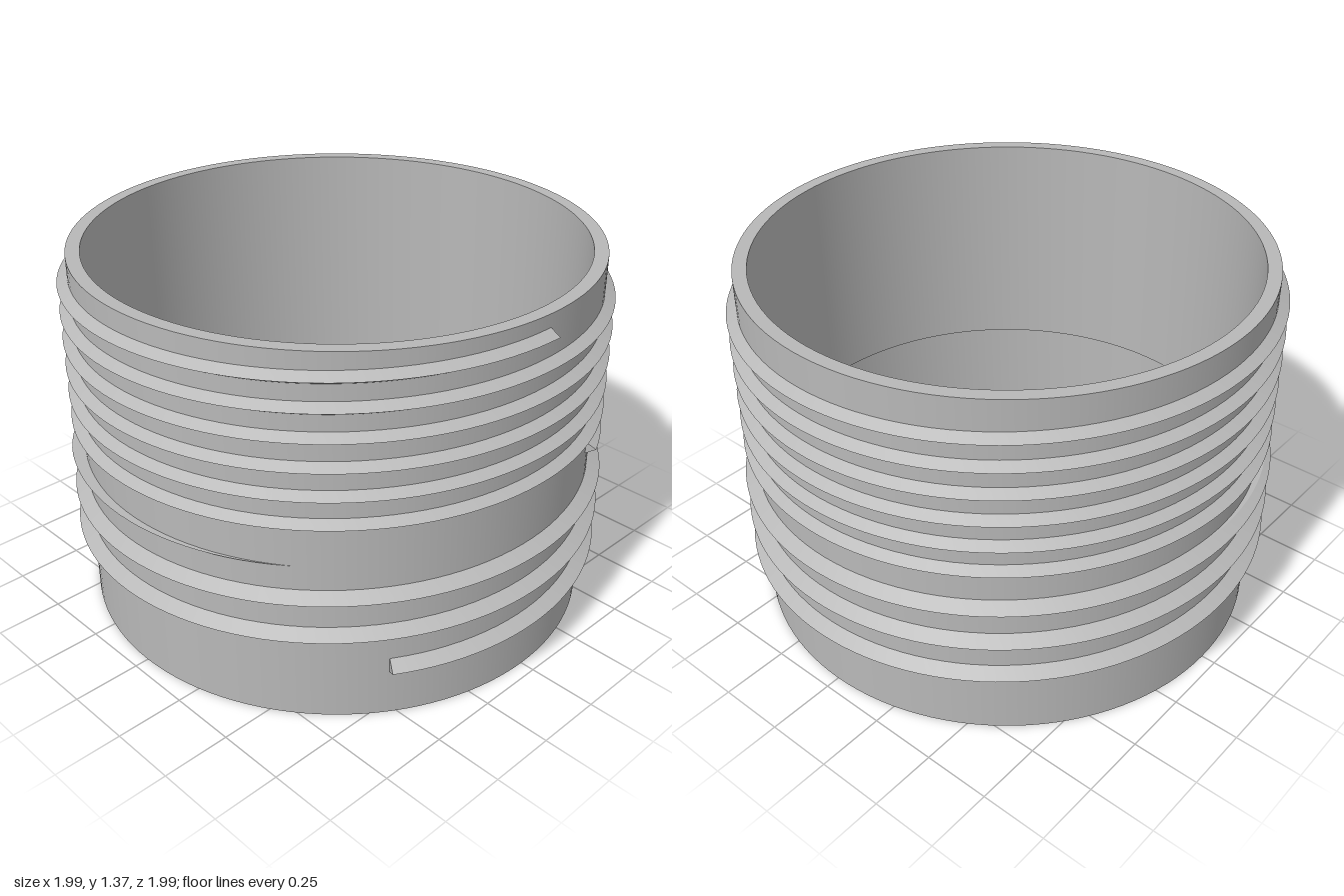
import * as THREE from 'three';
import { toCreasedNormals } from 'three/addons/utils/BufferGeometryUtils.js';

const WALL = 0.947;      // outer radius of the sleeve
const ROOT = 0.943;      // thread roots sit slightly inside the wall
const FLANK = Math.tan(Math.PI / 6); // 60 degree thread form
const DEG = Math.PI / 180;

// V-shaped helical ridge from angle t0 to t1 (degrees, 0 = +z, 90 = +x),
// starting at height y0, cut flat where it reaches the height limit.
function helicalThread({ t0, t1, y0, pitch, crest, limit }) {
  const h = (crest - ROOT) * FLANK;
  const steps = Math.ceil((t1 - t0) / 3);
  const pos = [], index = [];
  for (let i = 0; i <= steps; i++) {
    const t = t0 + ((t1 - t0) * i) / steps;
    const y = y0 + (pitch * (t - t0)) / 360;
    const radiusAt = (v) => ROOT + Math.max(0, h - Math.abs(v - y)) / FLANK;
    const tip = Math.min(y, limit), top = Math.min(y + h, limit);
    const profile = [[ROOT, Math.min(y - h, limit)], [radiusAt(tip), tip], [radiusAt(top), top], [ROOT, top]];
    for (const [r, v] of profile) pos.push(r * Math.sin(t * DEG), v, r * Math.cos(t * DEG));
    if (i === steps) break;
    for (let j = 0; j < 3; j++) {
      const a = i * 4 + j, b = a + 4;
      index.push(a, b, a + 1, b + 1, a + 1, b);
    }
  }
  // blunt ends
  const e = steps * 4;
  index.push(0, 1, 3, 1, 2, 3, e, e + 3, e + 1, e + 1, e + 3, e + 2);
  const geo = new THREE.BufferGeometry();
  geo.setAttribute('position', new THREE.Float32BufferAttribute(pos, 3));
  geo.setIndex(index);
  return toCreasedNormals(geo, 0.4);
}

export function createModel() {
  const group = new THREE.Group();
  group.name = 'threadedSleeve';
  const grey = new THREE.MeshStandardMaterial({ color: 0xb8b8b8 });
  grey.name = 'plainGrey';

  const add = (name, geo) => {
    const mesh = new THREE.Mesh(geo, grey);
    mesh.name = name;
    group.add(mesh);
  };

  // Tube with a wider counterbore in its lower part
  const profile = [
    [WALL, 0], [WALL, 1.37], [0.897, 1.37], [0.897, 0.505],
    [0.936, 0.505], [0.936, 0], [WALL, 0],
  ].map(([r, y]) => new THREE.Vector2(r, y));
  add('sleeve', toCreasedNormals(new THREE.LatheGeometry(profile, 120), 0.4));

  // Fine thread around the upper part
  add('upperThread', helicalThread({
    t0: 115, t1: 90 + 360 * 6, y0: 0.691, pitch: 0.1027, crest: 0.985, limit: 2,
  }));

  // Coarse thread around the lower part, running out against a flat plane
  add('lowerThread', helicalThread({
    t0: 56.5, t1: 45 + 360 * 3, y0: 0.201, pitch: 0.148, crest: 0.996, limit: 0.609,
  }));

  return group;
}
